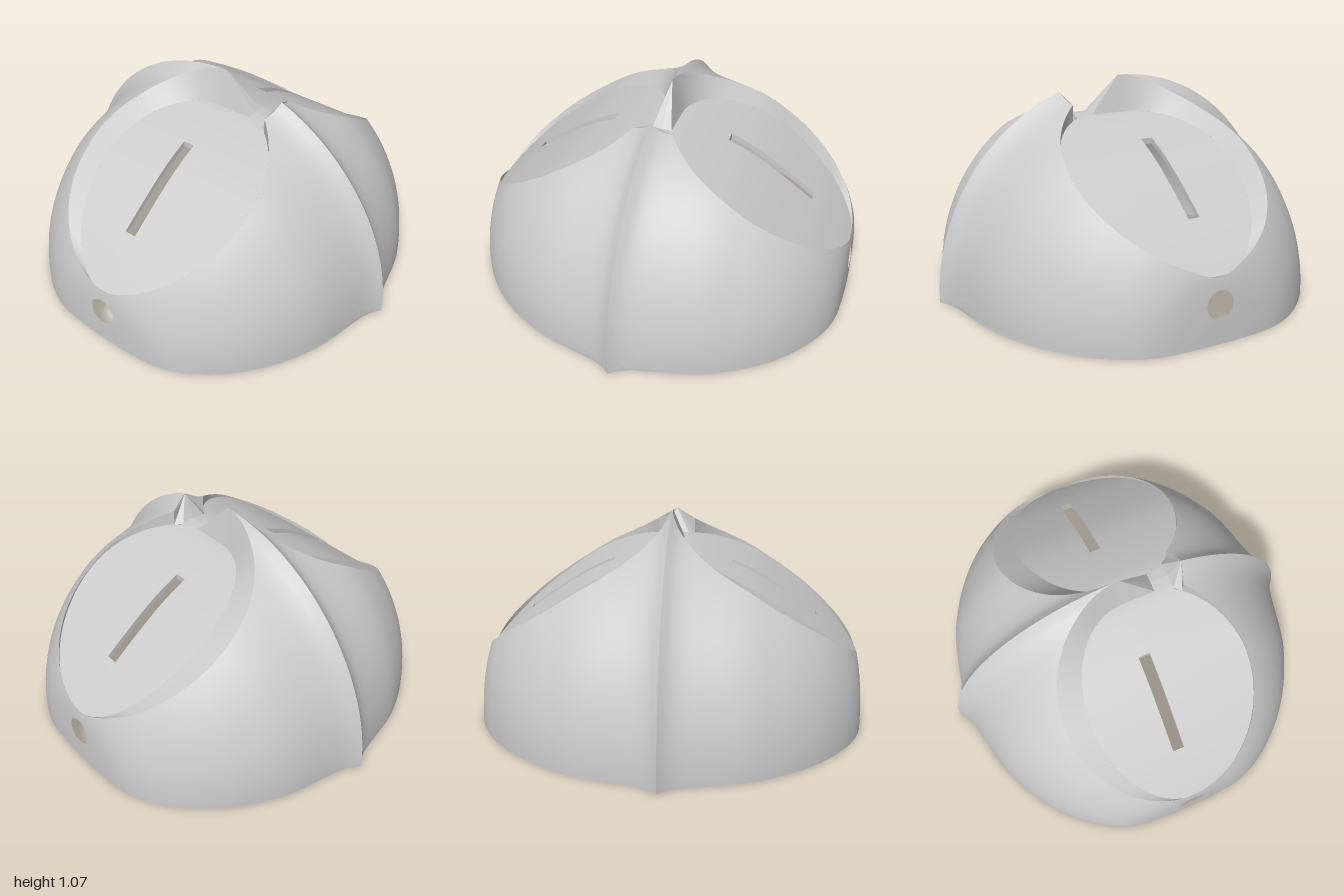
import * as THREE from 'three';

const H = 1.07; // height of the dome relative to its radius
const material = new THREE.MeshStandardMaterial({ color: 0xcccccc, side: THREE.DoubleSide });
const v2 = (pts) => pts.map(([x, y]) => new THREE.Vector2(x, y));
const lerp = THREE.MathUtils.lerp;
const clamp = THREE.MathUtils.clamp;

// Outline radius against x, and eye plate height against x
const outline = new THREE.SplineCurve(v2([[0, 1], [0.05, 0.963], [0.11, 0.94], [0.2, 0.92], [0.3, 0.9],
  [0.4, 0.873], [0.5, 0.83], [0.63, 0.757], [0.76, 0.655], [0.87, 0.53], [0.94, 0.415], [0.98, 0.3],
  [0.996, 0.15], [1, 0]])).getPoints(600);
const plate = new THREE.SplineCurve(v2([[0, 0.89], [0.1, 0.875], [0.31, 0.8], [0.5, 0.705],
  [0.76, 0.525], [0.9, 0.405], [0.985, 0.32]])).getPoints(300);

// Linear lookup of one coordinate from the other
function lookup(pts, from, to, value) {
  const up = pts[pts.length - 1][from] > pts[0][from];
  for (let i = 1; i < pts.length; i++) {
    const a = pts[i - 1], b = pts[i];
    if (up ? value <= b[from] : value >= b[from]) {
      return lerp(a[to], b[to], clamp((value - a[from]) / (b[from] - a[from] || 1), 0, 1));
    }
  }
  return pts[pts.length - 1][to];
}
const radiusAt = (x) => lookup(outline, 'x', 'y', x);
const widthAt = (r) => lookup(outline, 'y', 'x', r);
const plateY = (x) => lookup(plate, 'x', 'y', x);

// Grid surface from f(i, j) -> [x, y, z], leaving out cells where skip is true
function surface(name, nu, nv, f, skip = () => false) {
  const pos = [], index = [];
  for (let i = 0; i <= nu; i++) for (let j = 0; j <= nv; j++) pos.push(...f(i, j));
  const id = (i, j) => i * (nv + 1) + j;
  for (let i = 0; i < nu; i++) {
    for (let j = 0; j < nv; j++) {
      const quad = [[i, j], [i + 1, j], [i + 1, j + 1], [i, j + 1]];
      for (const t of [[0, 1, 2], [0, 2, 3]]) {
        const tri = t.map((k) => quad[k]);
        if (!skip(tri)) index.push(...tri.map(([a, b]) => id(a, b)));
      }
    }
  }
  const g = new THREE.BufferGeometry();
  g.setAttribute('position', new THREE.Float32BufferAttribute(pos, 3));
  g.setIndex(index);
  g.computeVertexNormals();
  const mesh = new THREE.Mesh(g, material);
  mesh.name = name;
  return mesh;
}

// Flat facet as a fan of triangles
function facet(name, pts) {
  const pos = [];
  for (let i = 1; i < pts.length - 1; i++) pos.push(...pts[0], ...pts[i], ...pts[i + 1]);
  const g = new THREE.BufferGeometry();
  g.setAttribute('position', new THREE.Float32BufferAttribute(pos, 3));
  g.computeVertexNormals();
  const mesh = new THREE.Mesh(g, material);
  mesh.name = name;
  return mesh;
}

// Rim of the eye opening on the dome, angle measured from the nose
const START = 0.652;
function eyeRim(phi) {
  const x = 0.49 * (1 - Math.cos(phi)), z = 0.495 * Math.sin(phi);
  const r = radiusAt(x);
  return [x, H * Math.sqrt(Math.max(r * r - z * z, 0)), z];
}

// Dome: a strip from ridge and bottom edge to the eye rim, with a strap hole
function dome() {
  const seg = [60, 140, 60], nv = 24, hole = { y: 0.19, r: 0.07 };
  const phis = [START, Math.PI * 2 / 3, Math.PI * 4 / 3, Math.PI * 2];
  const flat = (i, j) => {
    let s = 0, k = i;
    while (s < 2 && k > seg[s]) k -= seg[s++];
    const u = k / seg[s];
    const rim = eyeRim(lerp(phis[s], phis[s + 1], u));
    let z, y;
    if (s === 1) {
      z = 1 - 2 * u;
      y = 0;
    } else {
      const t = s === 0 ? lerp(Math.acos(0.33), 0, u) : lerp(Math.PI, Math.PI / 2, u);
      z = Math.cos(t);
      y = H * Math.sin(t);
    }
    return [lerp(z, rim[2], j / nv), lerp(y, rim[1], j / nv)];
  };
  const dist = ([z, y]) => Math.hypot(z, y - hole.y);
  const point = (i, j) => {
    let [z, y] = flat(i, j);
    const d = dist([z, y]);
    if (d < hole.r) {
      const k = hole.r / Math.max(d, 1e-6);
      z *= k;
      y = hole.y + (y - hole.y) * k;
    }
    return [widthAt(Math.min(1, Math.hypot(z, y / H))), y, z];
  };
  return surface('shellHalf', 260, nv, point, (tri) => tri.every(([i, j]) => dist(flat(i, j)) < hole.r));
}

// Wall between eye rim and plate; the rear part leans forward
function eyeWall() {
  const n = 160;
  return surface('eyeWall', n, 1, (i, j) => {
    const phi = lerp(START, Math.PI * 2, i / n);
    const rim = eyeRim(phi);
    if (j === 0) return rim;
    if (phi < Math.PI) return [rim[0], Math.min(rim[1], plateY(rim[0])), rim[2]];
    const x = 0.515 - 0.465 * Math.cos(phi);
    return [x, plateY(x), 0.37 * Math.sin(phi)];
  });
}

// Curved eye plate with a narrow slit
const SLIT = { a: 0.31, b: 0.76, z: 0.03 };
function eyePlate() {
  const xs = [0, 0.025, 0.0499, 0.07, SLIT.a, SLIT.b];
  for (let i = 0; i <= 70; i++) xs.push(0.515 - 0.465 * Math.cos(Math.PI * i / 70));
  xs.sort((a, b) => a - b);
  const half = (x, c, rx, rz) => rz * Math.sqrt(Math.max(0, 1 - ((x - c) / rx) ** 2));
  return surface('eyePlate', xs.length - 1, 3, (i, j) => {
    const x = xs[i];
    const back = x < 0.05 ? 0.17 : -half(x, 0.515, 0.465, 0.37);
    const front = x < 0.09 ? Math.max(0.265, half(x, 0.49, 0.49, 0.495)) : half(x, 0.49, 0.49, 0.495);
    const z = [back, clamp(-SLIT.z, back, front), clamp(SLIT.z, back, front), front][j];
    return [x, plateY(x), z];
  }, (tri) => {
    const inside = tri.every(([i]) => xs[i] >= SLIT.a && xs[i] <= SLIT.b);
    return inside && tri.every(([, j]) => j === 1 || j === 2);
  });
}

// Short walls lining the slit
function slitLining() {
  const g = new THREE.Group();
  g.name = 'slitLining';
  for (const s of [-1, 1]) {
    g.add(surface('slitSide', 20, 1, (i, j) => {
      const x = lerp(SLIT.a, SLIT.b, i / 20);
      return [x, plateY(x) - 0.03 * j, s * SLIT.z];
    }));
    const x = s < 0 ? SLIT.a : SLIT.b;
    g.add(surface('slitEnd', 1, 1, (i, j) => [x, plateY(x) - 0.03 * j, (2 * i - 1) * SLIT.z]));
  }
  return g;
}

export function createModel() {
  const model = new THREE.Group();
  model.name = 'mask';
  const peak = [0, H, 0], xi = 0.05, low = plateY(xi);
  const corner = eyeRim(START);

  for (const side of [1, -1]) {
    const half = new THREE.Group();
    half.name = side > 0 ? 'leftHalf' : 'rightHalf';
    half.add(dome(), eyeWall(), eyePlate(), slitLining());
    // Facets of the notch at the bridge of the nose
    half.add(facet('bridgeSide', [peak, [xi, low, 0], [xi, low, 0.17]]));
    half.add(facet('bridgeSlope', [peak, [xi, low, 0.17], [0, 0.89, 0.17]]));
    half.add(facet('noseTip', [[0, 1.01, 0.33], [0, 0.89, 0.265], [0.07, 0.88, 0.265],
      [corner[0], plateY(corner[0]), corner[2]], corner]));
    half.scale.x = side;
    model.add(half);
  }
  return model;
}
